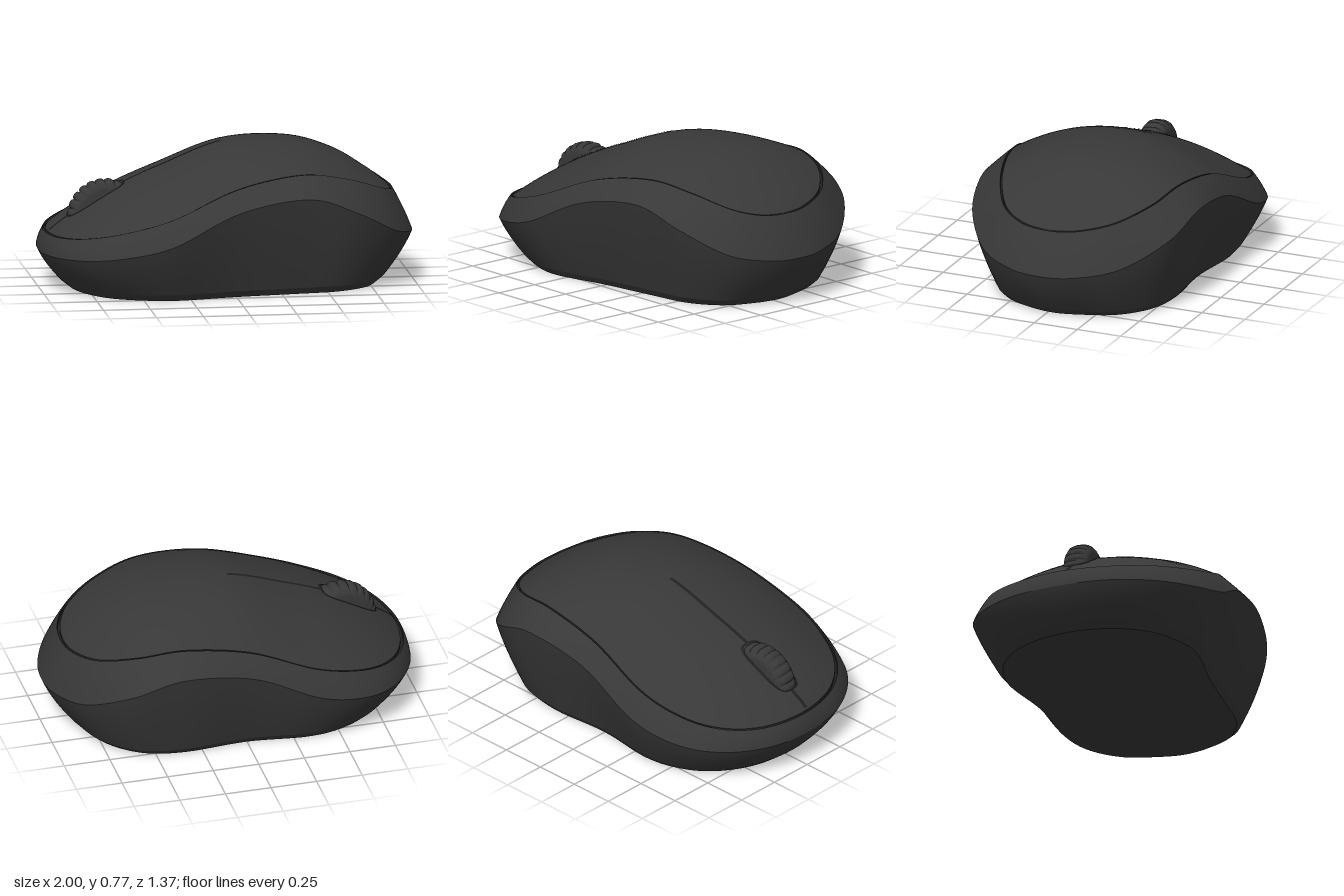
import * as THREE from 'three';
import { mergeVertices } from 'three/addons/utils/BufferGeometryUtils.js';

const N = 160, HALF = N / 2;
const shellMat = new THREE.MeshStandardMaterial({ color: 0x383838, side: THREE.DoubleSide });
const darkMat = new THREE.MeshStandardMaterial({ color: 0x222222, side: THREE.DoubleSide });

// Rows run from nose to tail: x, z of the back side, z of the front side, height
const CREASE = [
  [-1, 0, 0, .2], [-.96, -.27, .27, .205], [-.82, -.5, .5, .22], [-.62, -.635, .63, .25],
  [-.36, -.685, .685, .315], [0, -.675, .635, .48], [.38, -.685, .58, .535],
  [.65, -.63, .515, .44], [.86, -.44, .36, .32], [.97, -.22, .16, .275], [1, -.03, -.03, .265],
];
// Last number: height of the spine above this row
const SEAM = [
  [-.97, 0, 0, .3, .3], [-.92, -.26, .26, .305, .34], [-.79, -.45, .45, .33, .425],
  [-.6, -.56, .56, .375, .53], [-.35, -.605, .605, .45, .635], [0, -.585, .535, .59, .755],
  [.35, -.565, .455, .645, .757], [.6, -.51, .375, .605, .685], [.78, -.37, .27, .54, .58],
  [.87, -.19, .13, .5, .515], [.895, -.03, -.03, .49, .49],
];
const BASE = [
  [-.88, 0, 0], [-.84, -.23, .23], [-.72, -.42, .42], [-.55, -.53, .52], [-.34, -.57, .56],
  [0, -.535, .49], [.35, -.555, .44], [.58, -.51, .4], [.75, -.37, .29], [.83, -.18, .13], [.86, -.03, -.03],
].map(r => [...r, .035]);

// Closed ring: nose, back side, tail, front side. Points j and N - j share the same x.
function ring(rows) {
  const back = rows.map(r => new THREE.Vector3(r[0], r[3], r[1]));
  const front = rows.slice(1, -1).reverse().map(r => new THREE.Vector3(r[0], r[3], r[2]));
  const curve = new THREE.CatmullRomCurve3([...back, ...front], true, 'catmullrom', 0.5);
  return Array.from({ length: N }, (_, j) => curve.getPoint(j / N));
}
const inset = (pts, s, dy) => pts.map(p => new THREE.Vector3(p.x * s, p.y + dy, p.z * s));

// Grid of points to a smooth surface
function surface(name, rows, closed, mat = shellMat) {
  const w = rows[0].length, pos = [], idx = [];
  rows.forEach(r => r.forEach(p => pos.push(p.x, p.y, p.z)));
  for (let i = 0; i < rows.length - 1; i++)
    for (let k = 0; k < (closed ? w : w - 1); k++) {
      const a = i * w + k, b = i * w + (k + 1) % w;
      idx.push(a, a + w, b, b, a + w, b + w);
    }
  let g = new THREE.BufferGeometry();
  g.setAttribute('position', new THREE.Float32BufferAttribute(pos, 3));
  g.setIndex(idx);
  g = mergeVertices(g, 1e-5);
  g.computeVertexNormals();
  const mesh = new THREE.Mesh(g, mat);
  mesh.name = name;
  return mesh;
}

// Band between two rings, swelling outward slightly in the middle
function band(name, low, high, bulge = 0, steps = 1, mat = shellMat) {
  const rows = [];
  for (let i = 0; i <= steps; i++) {
    const s = i / steps, f = 1 + bulge * 4 * s * (1 - s);
    rows.push(low.map((p, j) => {
      const q = p.clone().lerp(high[j], s);
      return q.set(q.x * f, q.y, q.z * f);
    }));
  }
  return surface(name, rows, true, mat);
}

export function createModel() {
  const model = new THREE.Group();
  model.name = 'computerMouse';
  const crease = ring(CREASE), seam = ring(SEAM), base = ring(BASE);
  const sole = inset(base, .95, -.035);
  const lip = inset(seam, .983, 0);
  const spine = ring(SEAM.map(r => [r[0], 0, 0, r[4]]));

  // Body sides and sole
  model.add(band('soleBevel', sole, base));
  model.add(band('lowerSide', base, crease, .012, 8));
  model.add(band('upperSide', crease, seam, .006, 6));
  const soleShape = new THREE.Shape(sole.map(p => new THREE.Vector2(p.x, p.z)));
  const soleMesh = new THREE.Mesh(new THREE.ShapeGeometry(soleShape).rotateX(Math.PI / 2), shellMat);
  soleMesh.name = 'sole';
  model.add(soleMesh);

  // Recessed gap between the sides and the top cover
  const gapOuter = inset(seam, .997, -.018), gapInner = inset(lip, 1, -.018);
  model.add(band('gapOuterWall', seam, gapOuter, 0, 1, darkMat));
  model.add(band('gapFloor', gapOuter, gapInner, 0, 1, darkMat));
  model.add(band('gapInnerWall', gapInner, lip, 0, 1, darkMat));

  // Top cover: parabolic arches between paired lip points
  const sections = [];
  for (let j = 0; j <= HALF; j++) {
    const a = lip[j], b = lip[(N - j) % N];
    sections.push({ x: a.x, z0: a.z, z1: b.z, edge: a.y, rise: Math.max(0, spine[j].y - a.y) });
  }
  const arch = (s, t) => s.edge + s.rise * (1 - t * t);
  const ACROSS = 48;
  // Rows run across so the faces point upward
  const cover = [];
  for (const s of sections) {
    const row = [];
    for (let k = 0; k <= ACROSS; k++) {
      const t = 1 - 2 * k / ACROSS;
      row.push(new THREE.Vector3(s.x, arch(s, t), (s.z0 + s.z1) / 2 + t * (s.z1 - s.z0) / 2));
    }
    cover.push(row);
  }
  cover.reverse().forEach(r => r.reverse());
  model.add(surface('topCover', cover, false));

  // Height of the top cover at any x, z
  const mix = THREE.MathUtils.lerp;
  function topY(x, z) {
    let j = 0;
    while (j < HALF - 1 && sections[j + 1].x < x) j++;
    const p = sections[j], q = sections[j + 1];
    const f = THREE.MathUtils.clamp((x - p.x) / (q.x - p.x), 0, 1);
    const s = {};
    for (const key of Object.keys(p)) s[key] = mix(p[key], q[key], f);
    const half = Math.max((s.z1 - s.z0) / 2, 1e-3);
    return arch(s, THREE.MathUtils.clamp((z - (s.z0 + s.z1) / 2) / half, -1, 1));
  }
  const onTop = (x, z, lift) => new THREE.Vector3(x, topY(x, z) + lift, z);

  // Button split: fine strips along the slightly slanted middle line
  const lineZ = x => -.027 - .082 * (x + .02);
  function strip(name, x0, x1, width) {
    const rows = [-1, 1].map(side => Array.from({ length: 41 }, (_, i) => {
      const x = mix(x0, x1, i / 40);
      return onTop(x, lineZ(x) + side * width / 2, .003);
    }));
    model.add(surface(name, rows.reverse(), false, darkMat));
  }
  strip('noseSplit', -.945, -.84, .022);
  strip('middleSplit', -.55, -.02, .02);

  // Wheel opening: a rounded outline lying on the cover
  const wheelX = -.695, wheelZ = lineZ(wheelX);
  const outline = grow => Array.from({ length: 72 }, (_, i) => {
    const a = i / 72 * Math.PI * 2, c = Math.cos(a), s = Math.sin(a);
    const px = (.155 + grow) * Math.sign(c) * Math.abs(c) ** .6;
    const x = wheelX + px;
    return onTop(x, wheelZ - .082 * px + (.088 + grow) * Math.sign(s) * Math.abs(s) ** .6, .004);
  });
  model.add(surface('wheelOpening', [outline(-.012), outline(0)], true, darkMat));

  // Scroll wheel: barrel with scalloped treads
  const profile = [[0, -.07], [.15, -.07], [.175, -.062], [.192, -.045], [.2, -.02],
    [.2, .02], [.192, .045], [.175, .062], [.15, .07], [0, .07]];
  const wheelGeo = new THREE.LatheGeometry(profile.map(p => new THREE.Vector2(...p)), 192);
  const v = wheelGeo.attributes.position;
  for (let i = 0; i < v.count; i++) {
    const x = v.getX(i), z = v.getZ(i);
    if (Math.hypot(x, z) < .185) continue;
    const f = 1.01 - .07 * (1 - Math.abs(Math.sin(Math.atan2(z, x) * 12))) ** 2;
    v.setX(i, x * f);
    v.setZ(i, z * f);
  }
  wheelGeo.rotateX(Math.PI / 2);
  wheelGeo.computeVertexNormals();
  const wheel = new THREE.Mesh(wheelGeo, shellMat);
  wheel.name = 'scrollWheel';
  wheel.position.set(-.645, .37, lineZ(-.645));
  wheel.rotation.y = .08;
  model.add(wheel);

  return model;
}
